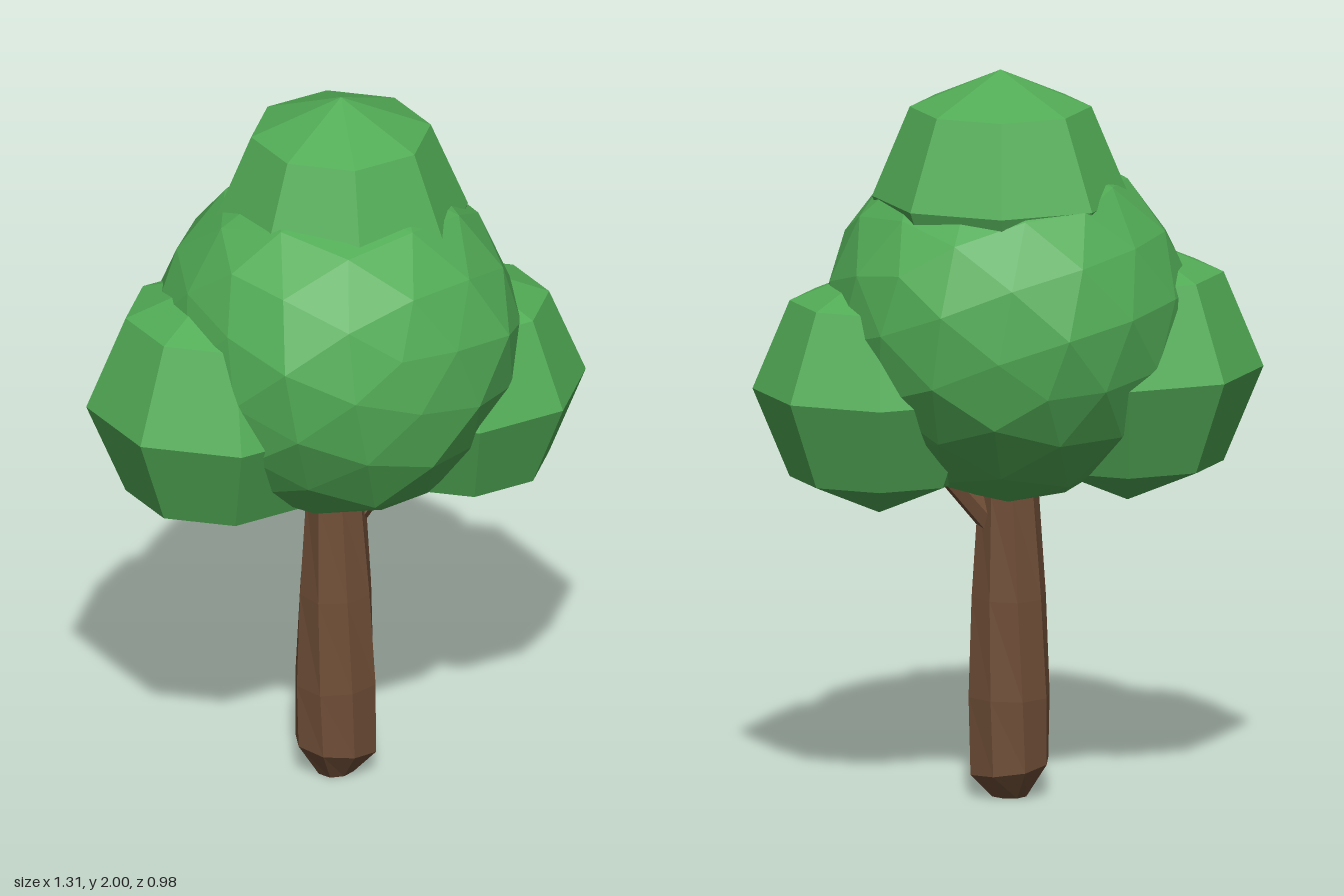
import * as THREE from 'three';

// Give every face its own flat normal
function faceted(geometry) {
  const g = geometry.index ? geometry.toNonIndexed() : geometry;
  g.computeVertexNormals();
  return g;
}

// Move every vertex by a rule
function reshape(geometry, rule) {
  const p = geometry.attributes.position;
  const v = new THREE.Vector3();
  for (let i = 0; i < p.count; i++) {
    v.fromBufferAttribute(p, i);
    rule(v);
    p.setXYZ(i, v.x, v.y, v.z);
  }
  return geometry;
}

export function createModel() {
  const tree = new THREE.Group();
  tree.name = 'tree';
  const leaf = new THREE.MeshStandardMaterial({ color: 0x52ac56 });
  leaf.name = 'leaf green';
  const bark = new THREE.MeshStandardMaterial({ color: 0x6f4e37 });
  bark.name = 'bark brown';

  function add(name, geometry, material, x, y, z) {
    const mesh = new THREE.Mesh(faceted(geometry), material);
    mesh.name = name;
    mesh.position.set(x, y, z);
    tree.add(mesh);
    return mesh;
  }

  // Trunk: tapered, slightly twisted, with a chamfered foot
  const profile = [[0, 0.005], [0.05, 0.005], [0.112, 0.085], [0.114, 0.28],
    [0.102, 0.55], [0.082, 0.83], [0.075, 1.0], [0, 1.0]]
    .map(([r, y]) => new THREE.Vector2(r, y));
  const trunk = reshape(new THREE.LatheGeometry(profile, 8), (v) => {
    const angle = Math.atan2(v.z, v.x) + 0.35 * v.y;
    const r = Math.hypot(v.x, v.z) * (1 + 0.04 * Math.sin(3 * angle));
    // The foot is slightly uneven
    if (v.y > 0.05 && v.y < 0.1) v.y -= 0.15 * v.x;
    v.x = r * Math.cos(angle) - 0.008;
    v.z = r * Math.sin(angle);
  });
  add('trunk', trunk, bark, 0, 0, 0);

  // Branch reaching into the left leaf cluster
  const from = new THREE.Vector3(0.03, 0.74, 0.005);
  const to = new THREE.Vector3(0.26, 1.01, 0.04);
  const direction = to.clone().sub(from);
  const middle = from.clone().add(to).multiplyScalar(0.5);
  const branch = add('branch', new THREE.CylinderGeometry(0.028, 0.036, direction.length(), 6),
    bark, middle.x, middle.y, middle.z);
  branch.quaternion.setFromUnitVectors(new THREE.Vector3(0, 1, 0), direction.normalize());

  // Main crown: a lumpy ball, tilted so its facets look irregular
  const crown = new THREE.IcosahedronGeometry(0.492, 2).rotateZ(0.3).rotateX(0.25);
  reshape(crown, (v) => {
    const lump = Math.sin(9 * v.x + 2) * Math.sin(8 * v.y + 1) * Math.sin(10 * v.z + 0.7);
    v.multiplyScalar(1 + 0.04 * lump);
    // Lean the upper half a little wider than the lower half
    const spread = 1 + 0.06 * v.y;
    v.x *= spread;
    v.z *= spread;
  });
  add('mainCrown', crown, leaf, 0, 1.31, 0);

  // Smaller octagonal leaf clusters: name, radius, centre
  const clusters = [
    ['topCluster', 0.345, 0.033, 1.655, -0.035],
    ['rightCluster', 0.365, -0.318, 1.17, -0.08],
    ['leftCluster', 0.34, 0.336, 1.13, 0.085],
  ];
  for (const [name, radius, x, y, z] of clusters) {
    const ball = new THREE.SphereGeometry(radius, 8, 4).rotateY(Math.PI / 8);
    add(name, ball, leaf, x, y, z);
  }
  return tree;
}
